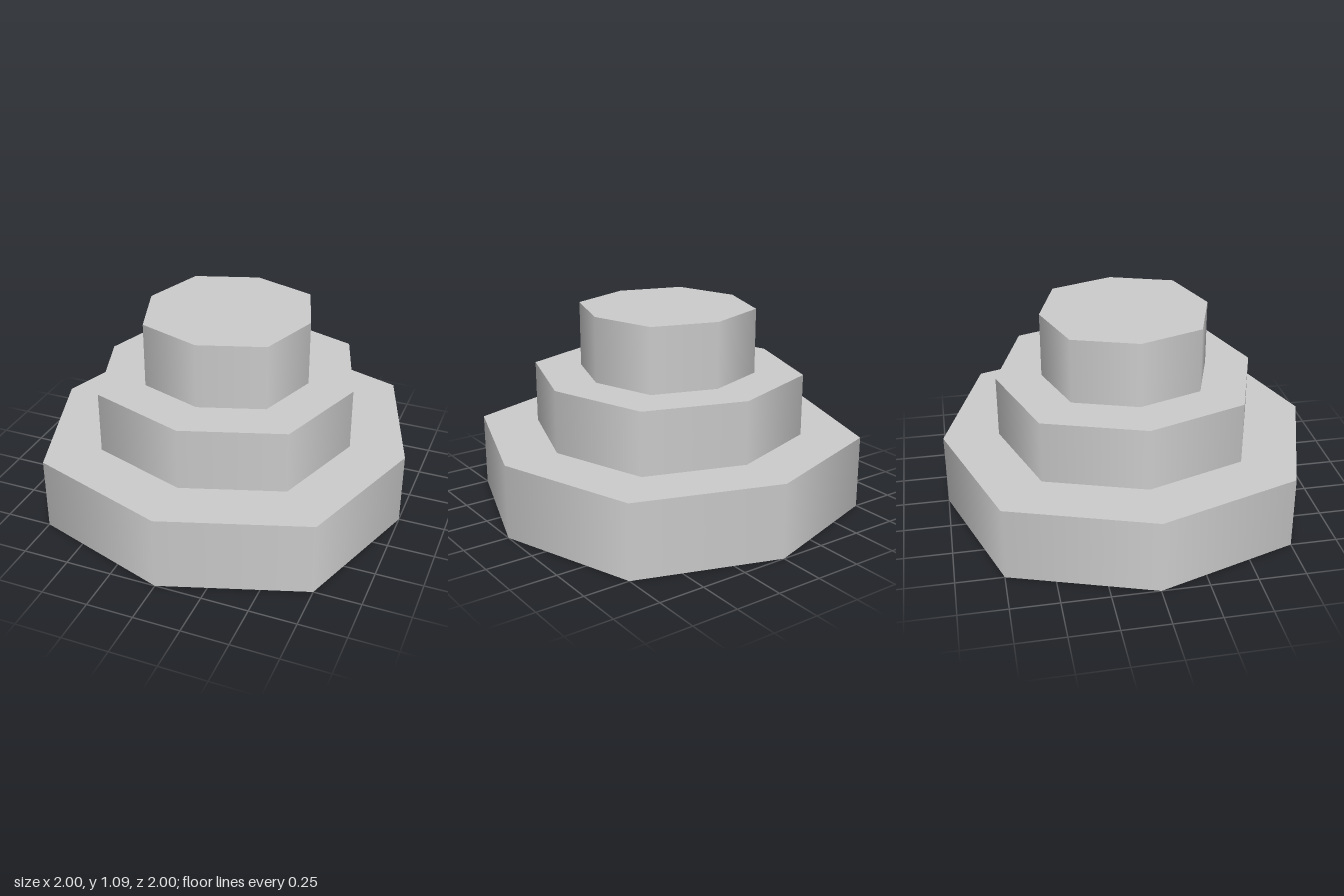
import * as THREE from 'three';

// Eight-sided tier: corners on the axes at the radius, diagonal corners at 0.75 of it in x and z.
function tierGeometry(radius, height) {
  const geometry = new THREE.CylinderGeometry(radius, radius, height, 8);
  const p = geometry.attributes.position;
  for (let i = 0; i < p.count; i++) {
    const x = p.getX(i), z = p.getZ(i);
    if (Math.abs(x) > 0.01 && Math.abs(z) > 0.01) {
      p.setX(i, Math.sign(x) * 0.75 * radius);
      p.setZ(i, Math.sign(z) * 0.75 * radius);
    }
  }
  return geometry;
}

export function createModel() {
  const group = new THREE.Group();
  group.name = 'steppedPedestal';
  const material = new THREE.MeshStandardMaterial({ color: 0xcccccc });

  // Three stacked tiers, each narrower than the one below
  const tiers = [
    { name: 'bottomTier', radius: 1, from: 0, to: 0.4 },
    { name: 'middleTier', radius: 0.698, from: 0.4, to: 0.738 },
    { name: 'topTier', radius: 0.452, from: 0.738, to: 1.09 },
  ];
  for (const { name, radius, from, to } of tiers) {
    const tier = new THREE.Mesh(tierGeometry(radius, to - from), material);
    tier.name = name;
    tier.position.y = (from + to) / 2;
    group.add(tier);
  }
  return group;
}
